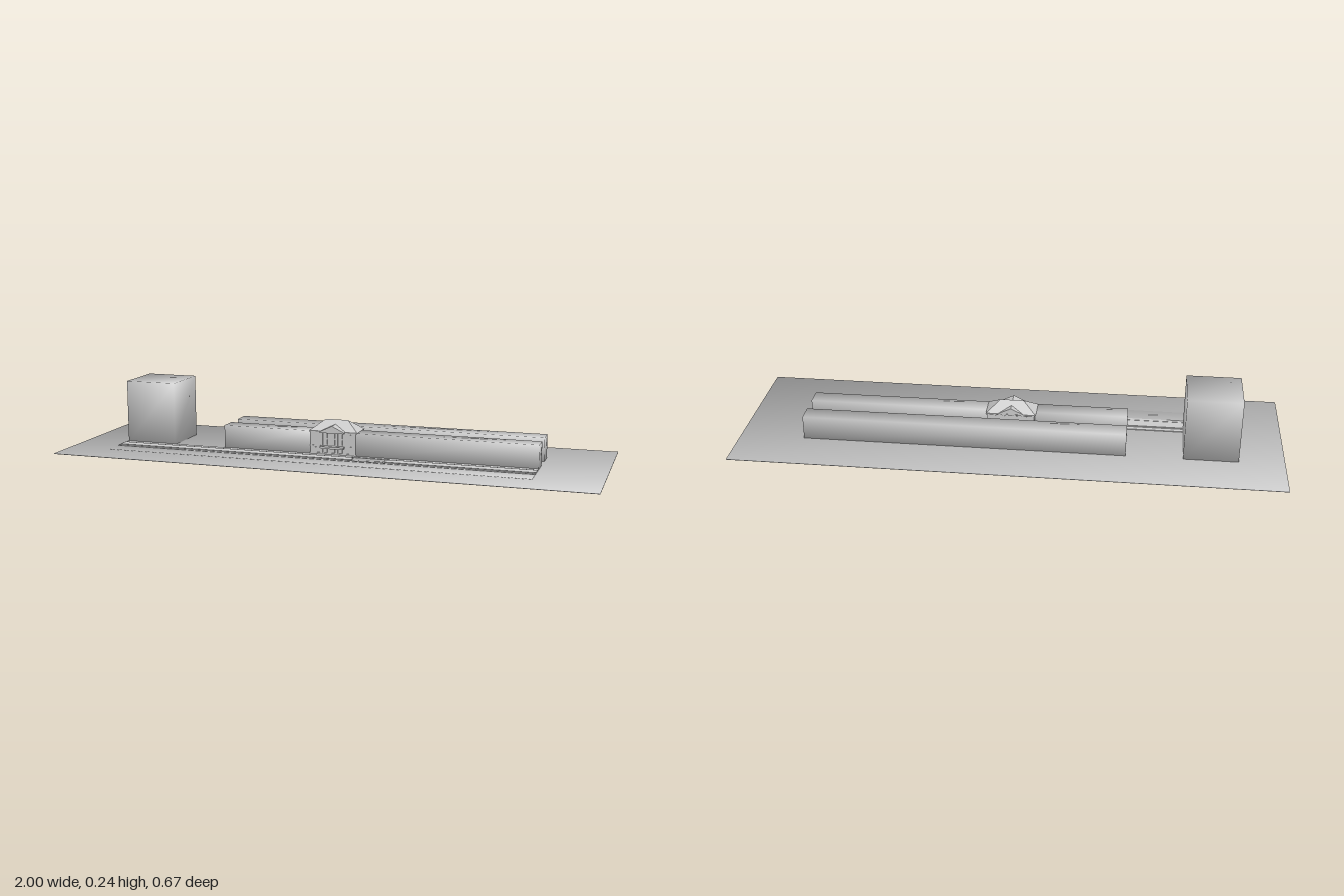
import * as THREE from 'three';
import { ConvexGeometry } from 'three/addons/geometries/ConvexGeometry.js';

const material = new THREE.MeshStandardMaterial({ color: 0xcccccc });

export function createModel() {
  const model = new THREE.Group();

  const add = (name, geometry, parent = model) => {
    const mesh = new THREE.Mesh(geometry, material);
    mesh.name = name;
    parent.add(mesh);
    return mesh;
  };

  // Box given by its limits on each axis
  const box = (x0, x1, y0, y1, z0, z1) =>
    new THREE.BoxGeometry(x1 - x0, y1 - y0, z1 - z0)
      .translate((x0 + x1) / 2, (y0 + y1) / 2, (z0 + z1) / 2);

  // Box whose corner normals are shared by the three faces meeting there
  const softBox = (x0, x1, y0, y1, z0, z1) => {
    const g = box(x0, x1, y0, y1, z0, z1);
    const p = g.attributes.position, s = Math.sqrt(1 / 3);
    const cx = (x0 + x1) / 2, cy = (y0 + y1) / 2, cz = (z0 + z1) / 2;
    for (let i = 0; i < p.count; i++) {
      g.attributes.normal.setXYZ(i,
        Math.sign(p.getX(i) - cx) * s, Math.sign(p.getY(i) - cy) * s, Math.sign(p.getZ(i) - cz) * s);
    }
    return g;
  };

  // Site and paving
  add('ground', softBox(-1, 1, 0, 0.002, -0.333, 0.333));
  add('paving', softBox(-0.835, 0.76, 0.001, 0.0032, 0.05, 0.203));
  add('kerb', box(-0.835, 0.76, 0.002, 0.0045, 0.122, 0.135));
  add('footpath', box(-0.835, 0.76, 0.002, 0.0045, 0.05, 0.068));

  // Raised strip, one end square and the other with rounded corners
  const strip = (name, xSquare, xRound) => {
    const d = Math.sign(xRound - xSquare), r = 0.018, z0 = 0.075, z1 = 0.117;
    const s = new THREE.Shape();
    s.moveTo(xSquare, -z0);
    s.lineTo(xRound - d * r, -z0);
    s.quadraticCurveTo(xRound, -z0, xRound, -z0 - r);
    s.lineTo(xRound, -z1 + r);
    s.quadraticCurveTo(xRound, -z1, xRound - d * r, -z1);
    s.lineTo(xSquare, -z1);
    const g = new THREE.ExtrudeGeometry(s, { depth: 0.004, bevelEnabled: false, curveSegments: 6 });
    add(name, g.rotateX(-Math.PI / 2).translate(0, 0.002, 0));
  };
  strip('longStrip', -0.835, 0.09);
  strip('shortStrip', 0.76, 0.21);

  // Large building masses
  add('towerBlock', softBox(-0.835, -0.636, 0.002, 0.24, -0.149, 0.05));
  add('rearWing', softBox(-0.43, 0.76, 0.002, 0.09, -0.149, -0.081));
  add('rightWing', softBox(-0.43, -0.085, 0.002, 0.09, -0.016, 0.05));
  add('leftWing', softBox(0.085, 0.76, 0.002, 0.09, -0.016, 0.05));

  // Central pavilion
  const pavilion = new THREE.Group();
  pavilion.name = 'pavilion';
  model.add(pavilion);
  add('walls', box(-0.086, 0.086, 0.002, 0.09, -0.04, 0.048), pavilion);
  add('plinth', box(-0.089, 0.089, 0.002, 0.01, -0.043, 0.051), pavilion);
  add('floorBand', box(-0.088, 0.088, 0.033, 0.037, -0.042, 0.05), pavilion);
  add('cornice', box(-0.091, 0.091, 0.086, 0.091, -0.046, 0.051), pavilion);

  // Pilasters along the front and rear walls
  for (const x of [-0.083, -0.043, -0.015, 0.015, 0.043, 0.083]) {
    add('frontPilaster', box(x - 0.004, x + 0.004, 0.002, 0.088, 0.045, 0.051), pavilion);
    add('rearPilaster', box(x - 0.004, x + 0.004, 0.002, 0.088, -0.043, -0.037), pavilion);
  }

  // Window frames in two storeys, and on the exposed side walls
  for (const [y0, y1] of [[0.012, 0.03], [0.042, 0.06], [0.065, 0.082]]) {
    for (const x of [-0.063, -0.029, 0, 0.029, 0.063]) {
      add('frontWindow', box(x - 0.007, x + 0.007, y0, y1, 0.046, 0.0495), pavilion);
      add('rearWindow', box(x - 0.007, x + 0.007, y0, y1, -0.0415, -0.038), pavilion);
    }
    for (const side of [-1, 1]) {
      const w = add('sideWindow', box(-0.002, 0.002, y0, y1, -0.037, -0.025), pavilion);
      w.position.x = side * 0.086;
    }
  }

  // Stepped balcony over the entrance
  add('balconySlab', box(-0.043, 0.043, 0.028, 0.032, 0.045, 0.066), pavilion);
  add('balconyRim', box(-0.045, 0.045, 0.032, 0.037, 0.045, 0.07), pavilion);

  // Hipped main roof crossed by a gable that projects at the front
  const hip = [new THREE.Vector3(-0.043, 0.128, 0), new THREE.Vector3(0.043, 0.128, 0)];
  for (const x of [-0.093, 0.093]) {
    for (const z of [-0.046, 0.05]) hip.push(new THREE.Vector3(x, 0.09, z));
  }
  add('hippedRoof', new ConvexGeometry(hip), pavilion);

  const gable = new THREE.Shape();
  gable.moveTo(-0.046, 0.087);
  gable.lineTo(0.046, 0.087);
  gable.lineTo(0.046, 0.092);
  gable.lineTo(0, 0.114);
  gable.lineTo(-0.046, 0.092);
  add('crossGable', new THREE.ExtrudeGeometry(gable, { depth: 0.109, bevelEnabled: false })
    .translate(0, 0, -0.045), pavilion);

  return model;
}
